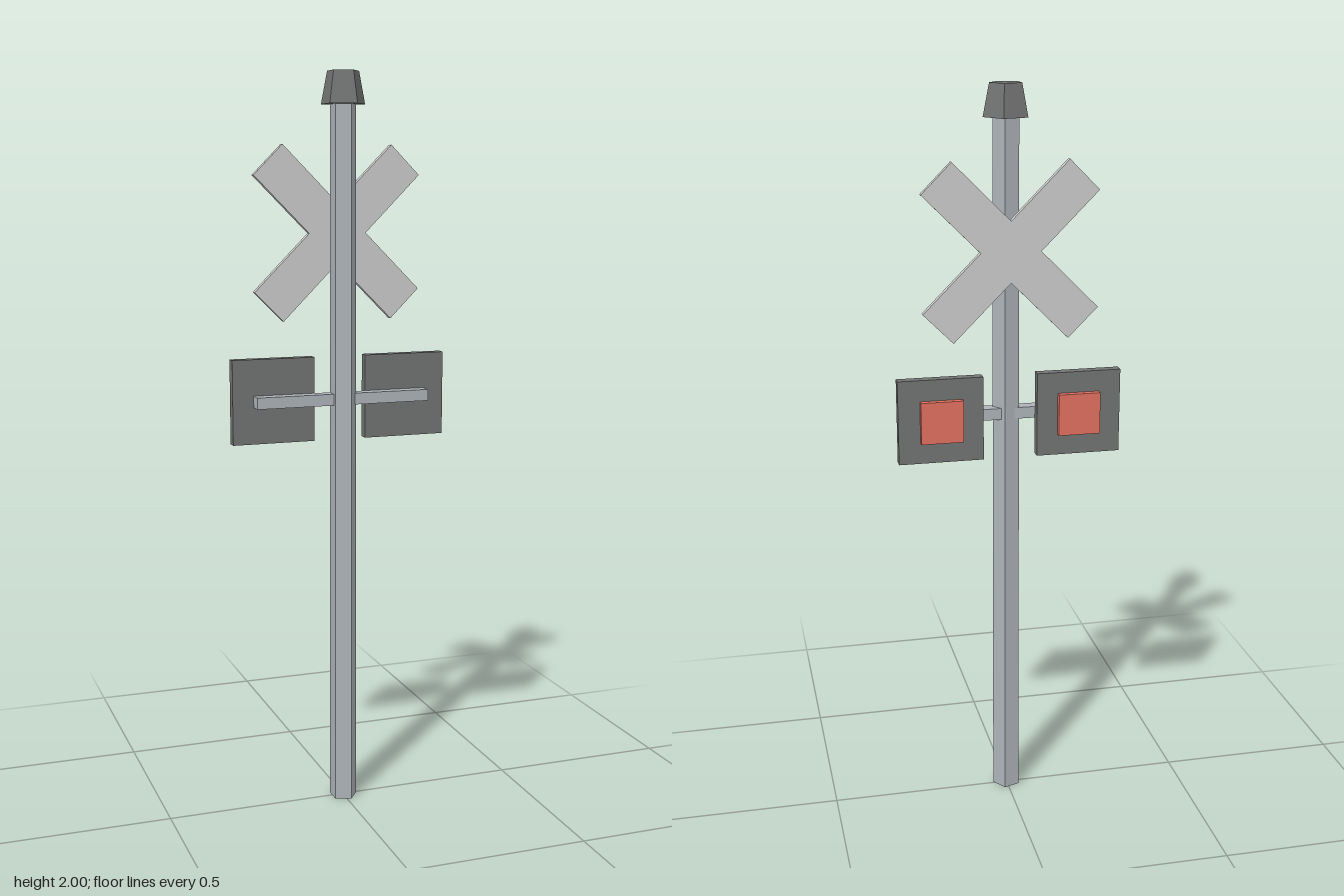
import * as THREE from 'three';

export function createModel() {
  const model = new THREE.Group();
  model.name = 'crossingSignal';

  const paint = (color) => new THREE.MeshStandardMaterial({ color, flatShading: true });
  const steel = paint(0xaeb4b9);
  const dark = paint(0x727473);
  const white = paint(0xcccccc);
  const red = paint(0xe0705f);

  const add = (name, geometry, material, x, y, z) => {
    const mesh = new THREE.Mesh(geometry, material);
    mesh.name = name;
    mesh.position.set(x, y, z);
    model.add(mesh);
    return mesh;
  };
  // Five-sided tapered column with one corner pointing to +x
  const column = (top, bottom, height) =>
    new THREE.CylinderGeometry(top, bottom, height, 5, 1, false, Math.PI / 2);

  // Post and cap
  add('post', column(0.036, 0.039, 1.92), steel, 0, 0.96, 0.004);
  add('postCap', column(0.044, 0.061, 0.085), dark, 0, 1.9575, 0.004);

  // Crossed sign boards, one solid X facing the back
  const half = 0.273, w = 0.0565;
  const cross = new THREE.Shape();
  for (let i = 0; i < 4; i++) {
    for (const [x, y] of [[w, w], [half, w], [half, -w]]) {
      const a = Math.PI / 4 - i * Math.PI / 2;
      const px = x * Math.cos(a) - y * Math.sin(a);
      const py = x * Math.sin(a) + y * Math.cos(a);
      if (i === 0 && x === w) cross.moveTo(px, py);
      else cross.lineTo(px, py);
    }
  }
  cross.closePath();
  add('crossSign', new THREE.ExtrudeGeometry(cross, { depth: 0.018, bevelEnabled: false }),
    white, 0, 1.58, -0.058);

  // Horizontal arm carrying the lamps
  add('lampArm', new THREE.BoxGeometry(0.488, 0.031, 0.036), steel, 0, 1.1375, -0.004);

  // Backing plates and lamps on both sides
  for (const [side, s] of [['left', 1], ['right', -1]]) {
    add(side + 'LampPlate', new THREE.BoxGeometry(0.229, 0.229, 0.027), dark, s * 0.1875, 1.1365, -0.0355);
    add(side + 'Lamp', new THREE.BoxGeometry(0.114, 0.114, 0.026), red, s * 0.1865, 1.1365, -0.053);
  }

  return model;
}
